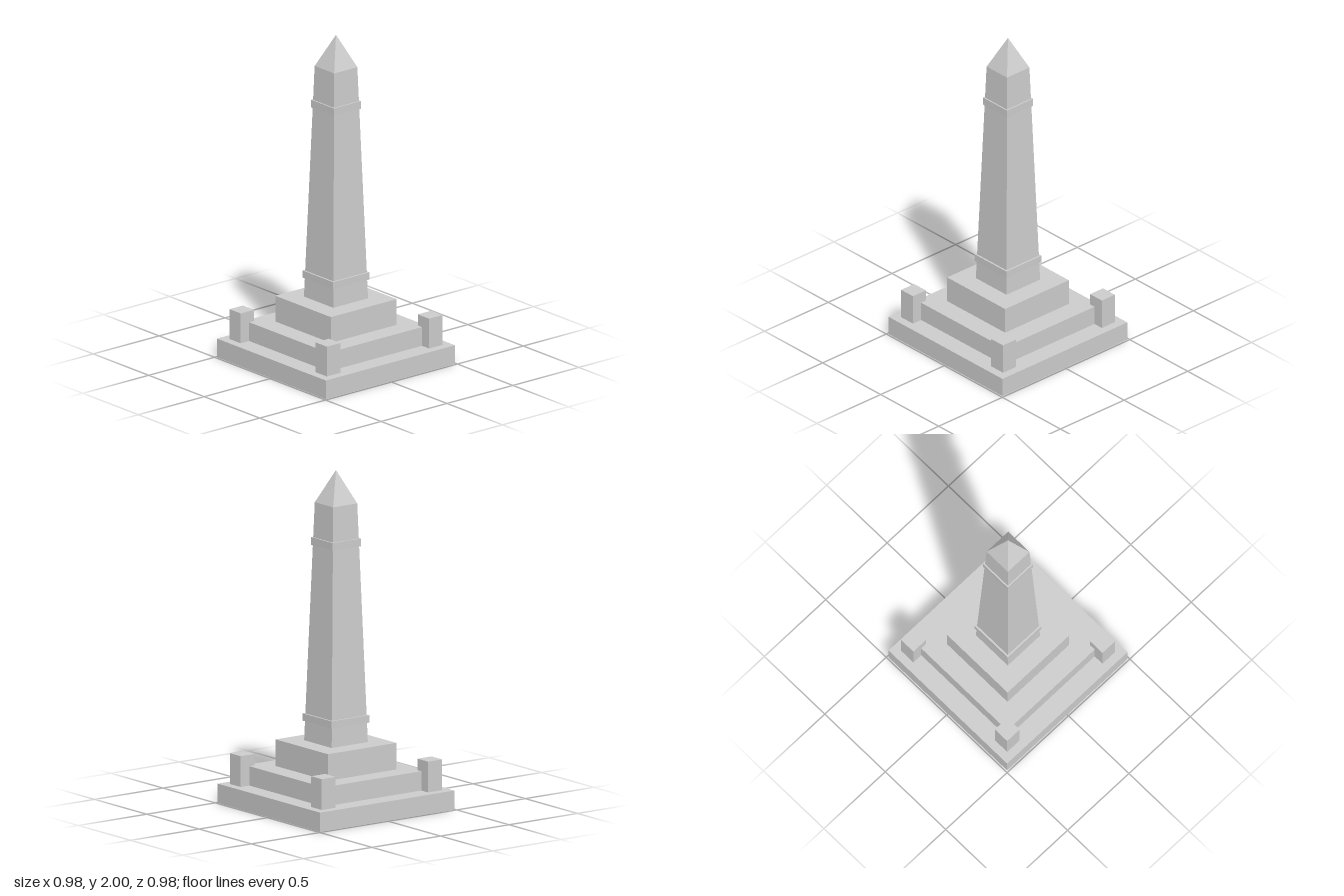
import * as THREE from 'three';

export function createModel() {
  const model = new THREE.Group();
  model.name = 'obelisk';
  const stone = new THREE.MeshStandardMaterial({ color: 0xcccccc });
  stone.name = 'stone';

  function add(name, geometry, x, y, z) {
    const mesh = new THREE.Mesh(geometry, stone);
    mesh.name = name;
    mesh.position.set(x, y, z);
    model.add(mesh);
  }

  // Square block given by half width and its bottom and top heights
  function block(name, half, y0, y1, x = 0, z = 0) {
    add(name, new THREE.BoxGeometry(half * 2, y1 - y0, half * 2), x, (y0 + y1) / 2, z);
  }

  // Four-sided taper with flat faces square to the axes
  function taper(name, bottom, top, y0, y1) {
    const r = Math.SQRT2;
    const geometry = top > 0
      ? new THREE.CylinderGeometry(top * r, bottom * r, y1 - y0, 4)
      : new THREE.ConeGeometry(bottom * r, y1 - y0, 4);
    geometry.rotateY(Math.PI / 4);
    const flat = geometry.toNonIndexed();
    flat.computeVertexNormals();
    add(name, flat, 0, (y0 + y1) / 2, 0);
  }

  // Stepped base
  block('lowerStep', 0.49, 0, 0.115);
  block('middleStep', 0.375, 0.115, 0.23);
  block('upperStep', 0.25, 0.23, 0.388);

  // Corner posts
  for (const x of [-1, 1]) {
    for (const z of [-1, 1]) block('cornerPost', 0.051, 0.115, 0.298, x * 0.388, z * 0.388);
  }

  // Shaft, trim bands and pointed cap
  taper('shaft', 0.132, 0.088, 0.388, 1.805);
  block('lowerBand', 0.138, 0.504, 0.548);
  block('upperBand', 0.103, 1.55, 1.597);
  taper('cap', 0.088, 0, 1.805, 2);

  return model;
}
